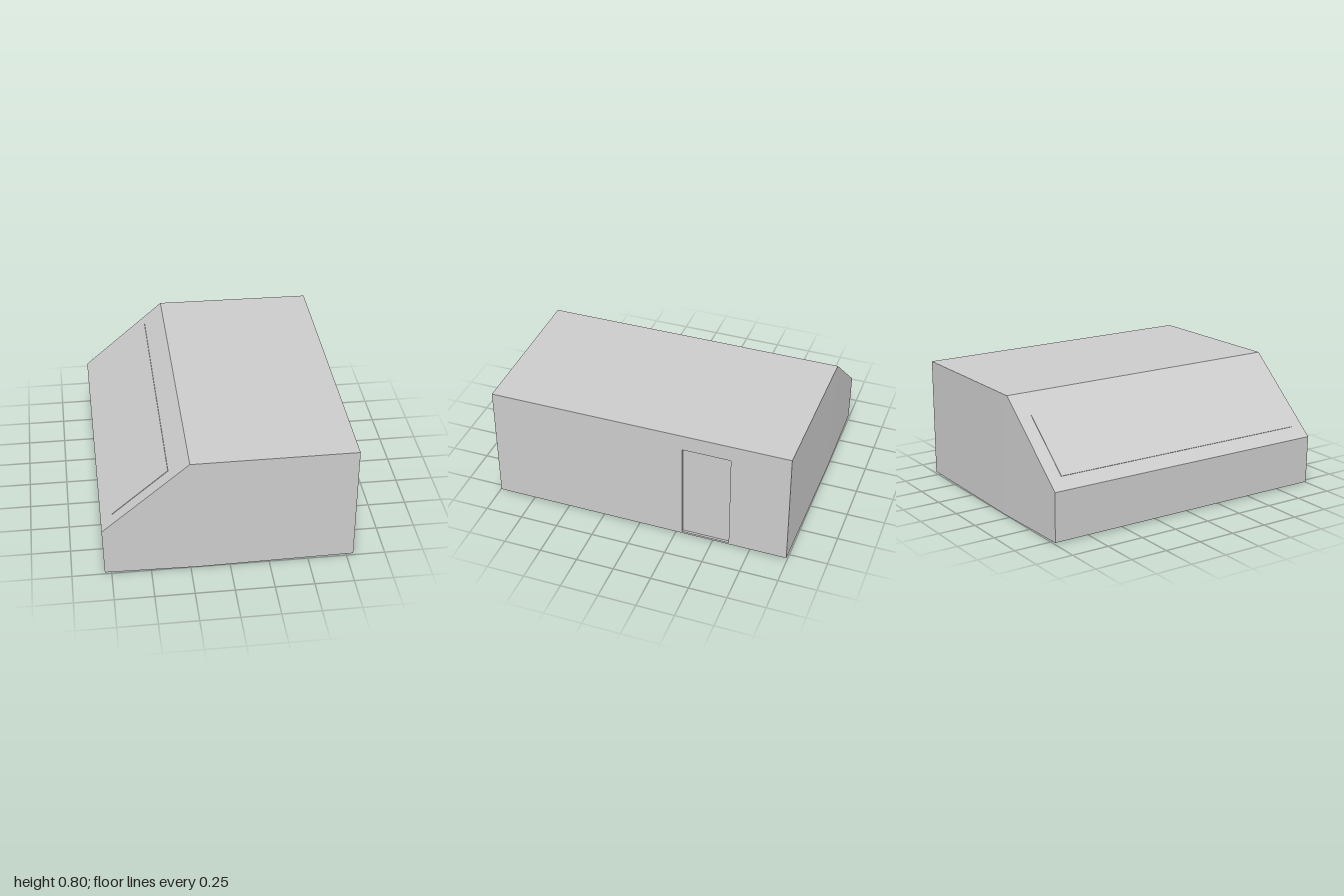
import * as THREE from 'three';

const material = new THREE.MeshStandardMaterial({ color: 0xcccccc, flatShading: true, side: THREE.DoubleSide });

function part(name, geometry) {
  const mesh = new THREE.Mesh(geometry, material);
  mesh.name = name;
  return mesh;
}

// Box without its +x face (the first six indices), flat shaded
function openBox(w, h, d, segments = 1) {
  const box = new THREE.BoxGeometry(w, h, d, segments);
  box.setIndex(Array.from(box.index.array).slice(6));
  box.clearGroups();
  return box;
}

function flat(geometry) {
  const g = geometry.toNonIndexed();
  g.computeVertexNormals();
  return g;
}

export function createModel() {
  const group = new THREE.Group();
  group.name = 'building';

  // Shell: three stations along x, from the low left side to the tall right wall
  const stations = [
    { bottom: [-0.793, 0.007], top: [-0.8, 0.33], z: 0.994 },
    { bottom: [-0.2, 0], top: [-0.25, 0.8], z: 1 },
    { bottom: [0.795, 0.007], top: [0.795, 0.796], z: 0.993 },
  ];
  const shell = openBox(2, 2, 2, 2);
  const p = shell.attributes.position;
  for (let i = 0; i < p.count; i++) {
    const s = stations[Math.round(p.getX(i)) + 1];
    const [x, y] = p.getY(i) > 0 ? s.top : s.bottom;
    p.setXYZ(i, x, y, Math.sign(p.getZ(i)) * s.z);
  }
  group.add(part('shell', flat(shell)));

  // Right wall with the door opening, drawn with -z along the shape's x
  const rect = (Type, x0, y0, x1, y1) => new Type([[x0, y0], [x1, y0], [x1, y1], [x0, y1]]
    .map(([x, y]) => new THREE.Vector2(x, y)));
  const door = { z0: 0.295, z1: 0.61, y0: 0.02, y1: 0.69, depth: 0.015 };
  const wall = rect(THREE.Shape, -0.993, 0.007, 0.993, 0.796);
  wall.holes.push(rect(THREE.Path, door.z0, door.y0, door.z1, door.y1));
  const wallMesh = part('rightWall', new THREE.ShapeGeometry(wall).rotateY(Math.PI / 2));
  wallMesh.position.x = 0.795;
  group.add(wallMesh);

  // Shallow door recess; its back is the door leaf
  const recess = openBox(door.depth, door.y1 - door.y0, door.z1 - door.z0);
  const doorMesh = part('door', flat(recess));
  doorMesh.position.set(0.795 - door.depth / 2, (door.y0 + door.y1) / 2, -(door.z0 + door.z1) / 2);
  group.add(doorMesh);

  // Thin panel lying on the sloped side
  const top = new THREE.Vector2(...stations[1].top);
  const low = new THREE.Vector2(...stations[0].top);
  const slope = top.clone().sub(low);
  const centre = top.clone().lerp(low, 0.545);
  const panel = part('slopePanel', new THREE.BoxGeometry(slope.length() * 0.64, 0.008, 1.81));
  panel.position.set(centre.x, centre.y, 0);
  panel.rotation.z = slope.angle();
  group.add(panel);

  return group;
}
